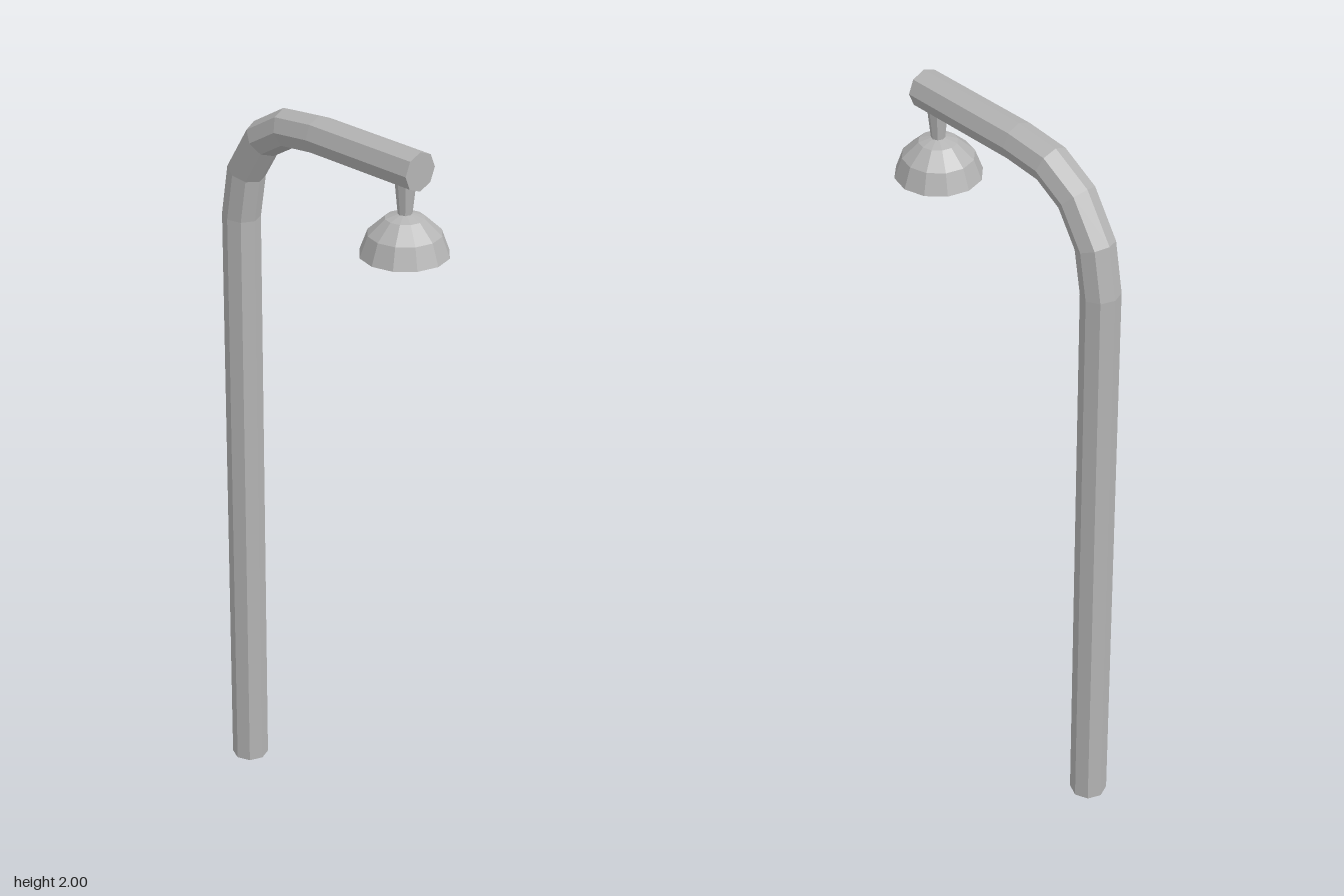
import * as THREE from 'three';

const SIDES = 8;

// Sweeps an octagon along a path in the xy plane, with mitred joints and closed ends.
function sweptPole(path, radius) {
  const pos = [], index = [];
  const last = path.length - 1;
  path.forEach((p, i) => {
    const before = p.clone().sub(path[Math.max(i - 1, 0)]).normalize();
    const after = path[Math.min(i + 1, last)].clone().sub(p).normalize();
    const t = before.add(after).normalize();
    const along = path[Math.min(i + 1, last)].clone().sub(path[Math.min(i, last - 1)]).normalize();
    const mitre = radius / t.dot(along);
    for (let j = 0; j < SIDES; j++) {
      const a = (j / SIDES) * Math.PI * 2;
      const c = Math.cos(a) * mitre;
      pos.push(p.x - t.y * c, p.y + t.x * c, Math.sin(a) * radius);
    }
  });
  for (let i = 0; i < last; i++) {
    for (let j = 0; j < SIDES; j++) {
      const k = (j + 1) % SIDES;
      const a = i * SIDES + j, b = i * SIDES + k;
      index.push(a, b, a + SIDES, b, b + SIDES, a + SIDES);
    }
  }
  const end = last * SIDES;
  for (let j = 1; j < SIDES - 1; j++) {
    index.push(0, j + 1, j, end, end + j, end + j + 1);
  }
  const geo = new THREE.BufferGeometry();
  geo.setAttribute('position', new THREE.Float32BufferAttribute(pos, 3));
  geo.setIndex(index);
  const flat = geo.toNonIndexed();
  flat.computeVertexNormals();
  return flat;
}

const points = (list) => list.map(([x, y]) => new THREE.Vector2(x, y));

export function createModel() {
  const group = new THREE.Group();
  group.name = 'streetLamp';
  const metal = new THREE.MeshStandardMaterial({ color: 0xb4b4b4, flatShading: true });
  metal.name = 'grey metal';

  const add = (name, geometry, x = 0, y = 0) => {
    const mesh = new THREE.Mesh(geometry, metal);
    mesh.name = name;
    mesh.position.set(x, y, 0);
    group.add(mesh);
  };

  // Upright pole bending over into the arm
  add('poleAndArm', sweptPole(points([
    [-0.323, 0], [-0.323, 1.655], [-0.301, 1.782], [-0.235, 1.886],
    [-0.146, 1.938], [-0.032, 1.95], [0.308, 1.95],
  ]), 0.05));

  // Neck, wider where it meets the arm
  const lampX = 0.26;
  add('lampNeck', new THREE.CylinderGeometry(0.028, 0.017, 0.11, SIDES), lampX, 1.875);

  // Hollow shade: inside surface, rim, then outside surface
  add('lampShade', new THREE.LatheGeometry(points([
    [0, 1.812], [0.045, 1.805], [0.08, 1.77], [0.096, 1.725],
    [0.113, 1.725], [0.093, 1.78], [0.05, 1.82], [0, 1.836],
  ]), 12), lampX);

  // Bulb inside the shade
  add('bulb', new THREE.LatheGeometry(points([
    [0, 1.755], [0.03, 1.762], [0.045, 1.785], [0.04, 1.81],
  ]), 12), lampX);

  return group;
}
